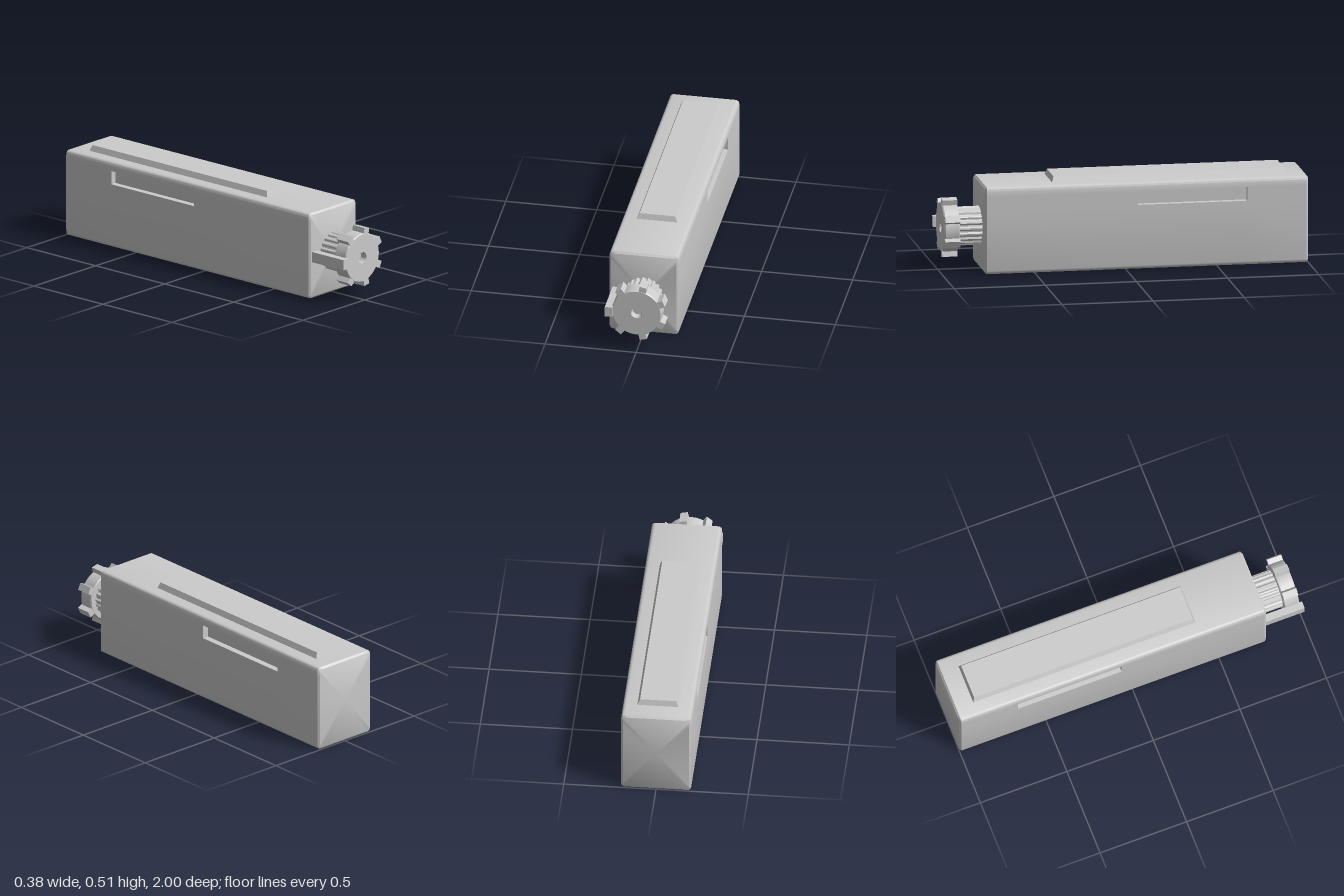
import * as THREE from 'three';
import { toCreasedNormals } from 'three/addons/utils/BufferGeometryUtils.js';

const material = new THREE.MeshStandardMaterial({ color: 0xcccccc });
const W = 0.19, H = 0.48, CORNER = 0.02;      // body half width, height, edge radius
const KNOB_Y = 0.235;

function add(parent, name, geometry, x = 0, y = 0, z = 0) {
  const mesh = new THREE.Mesh(geometry, material);
  mesh.name = name;
  mesh.position.set(x, y, z);
  parent.add(mesh);
  return mesh;
}

// Body cross-section, counter-clockwise from the bottom, with a grip slot on each side
function section(z, inset, depth) {
  const w = W - inset, low = inset, high = H - inset;
  const right = [];
  const arc = (cy, start) => {
    for (let i = 0; i <= 3; i++) {
      const a = start + (i / 3) * Math.PI / 2;
      right.push([w - CORNER + CORNER * Math.cos(a), cy + CORNER * Math.sin(a)]);
    }
  };
  arc(low + CORNER, -Math.PI / 2);
  right.push([w, 0.355], [w - depth, 0.355], [w - depth, 0.43], [w, 0.43]);
  arc(high - CORNER, 0);
  const left = right.map(([x, y]) => [-x, y]).reverse();
  return [...right, ...left].map(([x, y]) => new THREE.Vector3(x, y, z));
}

// Skin a list of equal-length sections running towards +z and close both ends
function loft(rings) {
  const positions = [];
  const tri = (a, b, c) => {
    const area = b.clone().sub(a).cross(c.clone().sub(a)).length();
    if (area > 1e-9) for (const p of [a, b, c]) positions.push(p.x, p.y, p.z);
  };
  const n = rings[0].length;
  for (let i = 0; i < n; i++) {
    const j = (i + 1) % n;
    for (let r = 0; r < rings.length - 1; r++) {
      const p = rings[r], q = rings[r + 1];
      tri(p[i], p[j], q[j]);
      tri(p[i], q[j], q[i]);
    }
    const back = rings[0], front = rings[rings.length - 1];
    tri(new THREE.Vector3(0, H / 2, back[0].z), back[j], back[i]);
    tri(new THREE.Vector3(0, H / 2, front[0].z), front[i], front[j]);
  }
  const geometry = new THREE.BufferGeometry();
  geometry.setAttribute('position', new THREE.Float32BufferAttribute(positions, 3));
  return toCreasedNormals(geometry, 0.7);
}

// Raised top plate with sloping sides
function plateGeometry() {
  const geometry = new THREE.BoxGeometry(0.23, 0.04, 1.29);
  const p = geometry.attributes.position;
  for (let i = 0; i < p.count; i++) {
    if (p.getY(i) > 0) p.setXYZ(i, p.getX(i) * 0.85, p.getY(i), p.getZ(i) * 0.98);
  }
  geometry.computeVertexNormals();
  return geometry;
}

// Ribbed shaft: a circle with alternating radii
function shaftGeometry() {
  const ribs = 20, points = [];
  for (let i = 0; i < ribs * 4; i++) {
    const a = (i / (ribs * 4)) * Math.PI * 2;
    const r = i % 4 < 2 ? 0.106 : 0.098;
    points.push(new THREE.Vector2(r * Math.cos(a), r * Math.sin(a)));
  }
  return new THREE.ExtrudeGeometry(new THREE.Shape(points), { depth: 0.16, bevelEnabled: false });
}

export function createModel() {
  const model = new THREE.Group();
  model.name = 'handleBlock';

  // Long rounded body with a slot along each side
  add(model, 'body', loft([
    section(-1, 0.01, 0), section(-0.99, 0, 0),
    section(-0.665, 0, 0), section(-0.665, 0, 0.035),
    section(-0.065, 0, 0.035), section(-0.065, 0, 0),
    section(0.762, 0, 0), section(0.772, 0.01, 0),
  ]));
  add(model, 'topPlate', plateGeometry(), 0, 0.491, -0.25);

  // Toothed knob on a ribbed shaft
  const knob = new THREE.Group();
  knob.name = 'knob';
  knob.position.set(0, KNOB_Y, 0);
  model.add(knob);
  add(knob, 'shaft', shaftGeometry(), 0, 0, 0.76);

  const profile = [[0, 0.9], [0.132, 0.9], [0.137, 0.905], [0.137, 0.978], [0.132, 0.985],
    [0.031, 0.985], [0.026, 0.95], [0, 0.95]].map(([r, z]) => new THREE.Vector2(r, z));
  const wheel = toCreasedNormals(new THREE.LatheGeometry(profile, 28), 0.6);
  wheel.rotateX(Math.PI / 2);
  add(knob, 'wheel', wheel);

  // Six short teeth; the seventh place is taken by the long bar
  for (let i = 1; i < 7; i++) {
    const a = Math.PI + (i / 7) * Math.PI * 2;
    const tooth = add(knob, 'tooth', new THREE.BoxGeometry(0.05, 0.04, 0.083),
      0.139 * Math.cos(a), 0.139 * Math.sin(a), 0.9425);
    tooth.rotation.z = a;
  }
  add(knob, 'longBar', new THREE.BoxGeometry(0.042, 0.058, 0.24), -0.151, 0, 0.88);

  return model;
}
